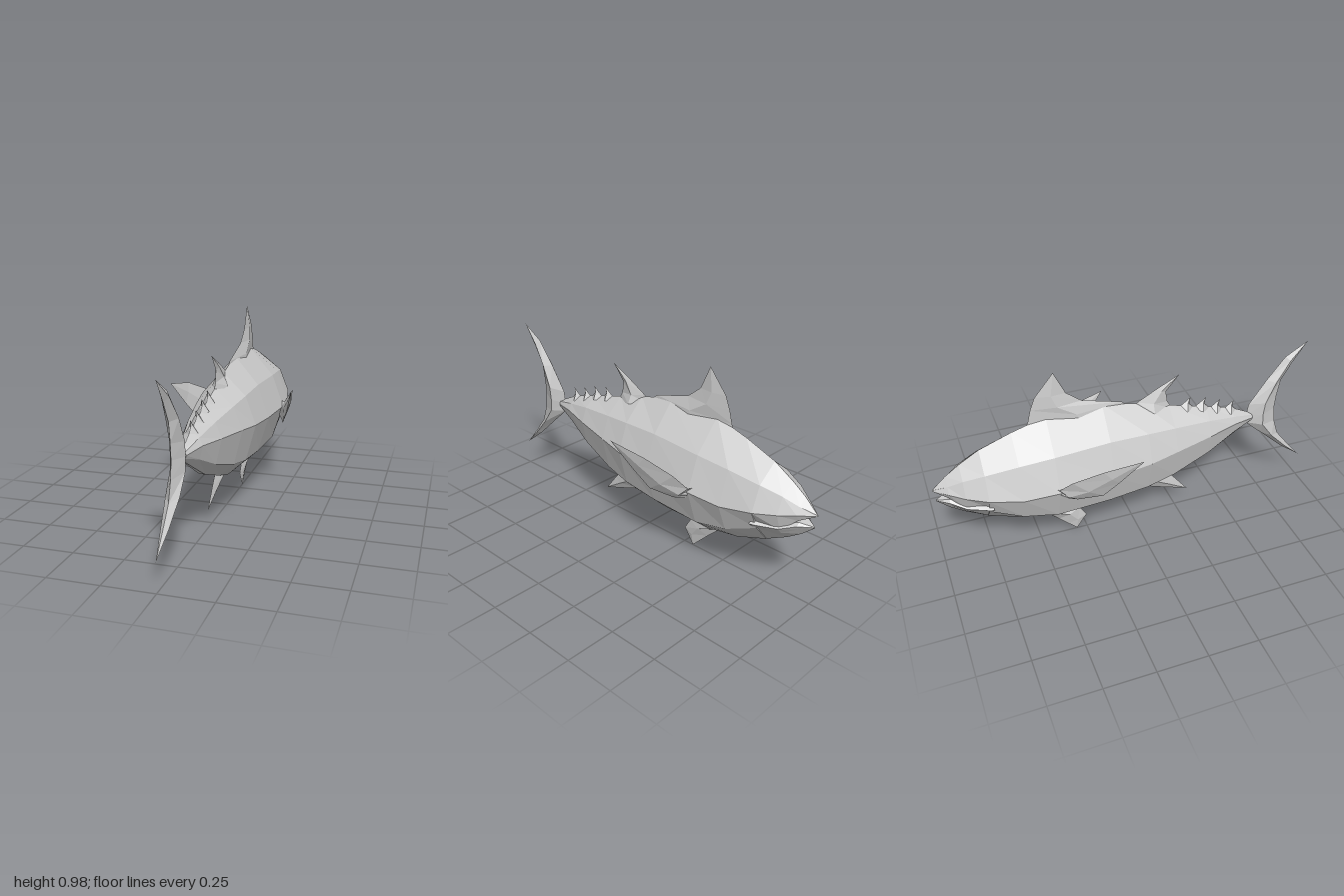
import * as THREE from 'three';

const skin = new THREE.MeshStandardMaterial({ color: 0xcccccc, flatShading: true });
skin.name = 'greySkin';

// Joins equal-sized rings of [x, y, z] points into a closed faceted solid.
function loft(name, rings) {
  const n = rings[0].length;
  const tris = [];
  const add = (a, b, c) => tris.push([a, b, c]);
  for (let i = 0; i < rings.length - 1; i++) {
    for (let j = 0; j < n; j++) {
      const k = (j + 1) % n;
      const [a, b, c, d] = [rings[i][j], rings[i][k], rings[i + 1][k], rings[i + 1][j]];
      add(a, b, c);
      add(a, c, d);
    }
  }
  const first = rings[0], last = rings[rings.length - 1];
  for (let j = 1; j < n - 1; j++) {
    add(first[0], first[j + 1], first[j]);
    add(last[0], last[j], last[j + 1]);
  }
  // Turn every face outward by checking the signed volume
  const v = (p) => new THREE.Vector3(...p);
  const origin = v(first[0]);
  let volume = 0;
  for (const [a, b, c] of tris) {
    volume += v(a).sub(origin).dot(v(b).sub(origin).cross(v(c).sub(origin)));
  }
  const points = tris.flatMap(([a, b, c]) => (volume < 0 ? [...a, ...c, ...b] : [...a, ...b, ...c]));
  const geo = new THREE.BufferGeometry();
  geo.setAttribute('position', new THREE.Float32BufferAttribute(points, 3));
  geo.computeVertexNormals();
  const mesh = new THREE.Mesh(geo, skin);
  mesh.name = name;
  return mesh;
}

// Body cross-section: station, heights from back to belly, half width
function section([z, top, shoulder, mid, low, belly, w]) {
  const half = [[0.68 * w, shoulder], [w, mid], [0.7 * w, low], [0.15 * w, belly]];
  return [
    [0, top, z],
    ...half.map(([x, y]) => [x, y, z]),
    ...half.reverse().map(([x, y]) => [-x, y, z]),
  ];
}

// Upright fin from rows of: leading z, y, trailing z, y, half thickness
function fin(name, rows) {
  return loft(name, rows.map(([lz, ly, tz, ty, h]) => {
    const mz = (lz + tz) / 2, my = (ly + ty) / 2;
    return [[0, ly, lz], [h, my, mz], [0, ty, tz], [-h, my, mz]];
  }));
}

// Side fin from rows of leading point, trailing point, half thickness
function pectoral(name, side) {
  const rows = [
    [[0.165, 0.46, -0.46], [0.165, 0.39, -0.44], 0.01],
    [[0.2, 0.455, -0.435], [0.205, 0.38, -0.35], 0.012],
    [[0.24, 0.515, -0.38], [0.238, 0.395, -0.23], 0.012],
    [[0.285, 0.575, -0.24], [0.273, 0.48, -0.16], 0.008],
    [[0.315, 0.61, -0.05], [0.315, 0.61, -0.05], 0],
  ];
  return loft(name, rows.map(([a, b, h]) => {
    const m = a.map((c, i) => (c + b[i]) / 2);
    return [a, [m[0] + h, m[1] - h / 2, m[2]], b, [m[0] - h, m[1] + h / 2, m[2]]]
      .map(([x, y, z]) => [x * side, y, z]);
  }));
}

export function createModel() {
  const fish = new THREE.Group();
  fish.name = 'fish';

  // Trunk, from the tail stalk to the back of the mouth
  fish.add(loft('body', [
    [0.67, 0.505, 0.5, 0.485, 0.47, 0.46, 0.02],
    [0.55, 0.565, 0.53, 0.495, 0.43, 0.39, 0.055],
    [0.4, 0.61, 0.56, 0.485, 0.36, 0.305, 0.095],
    [0.2, 0.665, 0.585, 0.47, 0.295, 0.23, 0.137],
    [0.05, 0.71, 0.6, 0.455, 0.27, 0.185, 0.164],
    [-0.15, 0.755, 0.61, 0.44, 0.255, 0.165, 0.18],
    [-0.43, 0.75, 0.6, 0.43, 0.25, 0.165, 0.195],
    [-0.6, 0.7, 0.585, 0.42, 0.28, 0.193, 0.18],
    [-0.76, 0.64, 0.56, 0.44, 0.345, 0.25, 0.15],
  ].map(section)));

  // Upper head and snout
  fish.add(loft('upperHead', [
    [-0.74, 0.645, 0.56, 0.44, 0.37, 0.37, 0.15],
    [-0.76, 0.64, 0.56, 0.44, 0.37, 0.37, 0.15],
    [-0.86, 0.58, 0.53, 0.45, 0.365, 0.37, 0.103],
    [-0.93, 0.53, 0.495, 0.46, 0.427, 0.43, 0.058],
    [-1, 0.465, 0.465, 0.46, 0.46, 0.46, 0.002],
  ].map(section)));

  // Lower jaw, set slightly inside the upper lip
  fish.add(loft('lowerJaw', [
    [-0.74, 0.4, 0.4, 0.375, 0.335, 0.24, 0.14],
    [-0.76, 0.4, 0.4, 0.375, 0.34, 0.25, 0.135],
    [-0.86, 0.4, 0.4, 0.375, 0.345, 0.3, 0.088],
    [-0.93, 0.415, 0.415, 0.4, 0.38, 0.345, 0.048],
    [-0.99, 0.402, 0.402, 0.4, 0.398, 0.396, 0.002],
  ].map(section)));

  // Fins along the back
  fish.add(fin('firstDorsalFin', [
    [-0.54, 0.68, 0.02, 0.68, 0.03],
    [-0.515, 0.74, -0.05, 0.745, 0.025],
    [-0.5, 0.8, -0.25, 0.8, 0.018],
    [-0.475, 0.865, -0.325, 0.86, 0.011],
    [-0.38, 0.98, -0.38, 0.98, 0],
  ]));
  fish.add(fin('secondDorsalFin', [
    [0, 0.68, 0.22, 0.64, 0.04],
    [0.03, 0.72, 0.19, 0.69, 0.02],
    [0.13, 0.775, 0.18, 0.75, 0.01],
    [0.25, 0.835, 0.25, 0.835, 0],
  ]));

  // Row of small finlets behind the second dorsal fin
  [[0.315, 0.685], [0.4, 0.665], [0.48, 0.635], [0.56, 0.61]].forEach(([z, y], i) => {
    fish.add(fin(`finlet${i + 1}`, [
      [z - 0.075, y - 0.055, z + 0.03, y - 0.075, 0.03],
      [z - 0.025, y - 0.02, z - 0.005, y - 0.035, 0.008],
      [z, y, z, y, 0],
    ]));
  });

  // Fins along the belly
  fish.add(fin('analFin', [
    [0.02, 0.22, 0.2, 0.27, 0.03],
    [0.05, 0.185, 0.205, 0.235, 0.025],
    [0.16, 0.145, 0.25, 0.18, 0.013],
    [0.32, 0.09, 0.32, 0.09, 0],
  ]));
  fish.add(fin('pelvicFin', [
    [-0.5, 0.19, -0.37, 0.19, 0.025],
    [-0.47, 0.16, -0.4, 0.16, 0.025],
    [-0.4, 0.095, -0.285, 0.14, 0.015],
    [-0.35, 0.045, -0.25, 0.08, 0.008],
    [-0.305, 0, -0.305, 0, 0],
  ]));

  // Crescent tail
  fish.add(fin('tailFin', [
    [0.955, 0.88, 0.955, 0.88, 0],
    [0.835, 0.81, 0.88, 0.77, 0.018],
    [0.74, 0.69, 0.825, 0.675, 0.03],
    [0.65, 0.56, 0.81, 0.58, 0.035],
    [0.64, 0.495, 0.805, 0.505, 0.035],
    [0.64, 0.45, 0.815, 0.42, 0.035],
    [0.74, 0.36, 0.845, 0.33, 0.032],
    [0.87, 0.24, 0.92, 0.235, 0.018],
    [1, 0.14, 1, 0.14, 0],
  ]));

  // Side fins
  fish.add(pectoral('leftPectoralFin', 1), pectoral('rightPectoralFin', -1));
  return fish;
}
